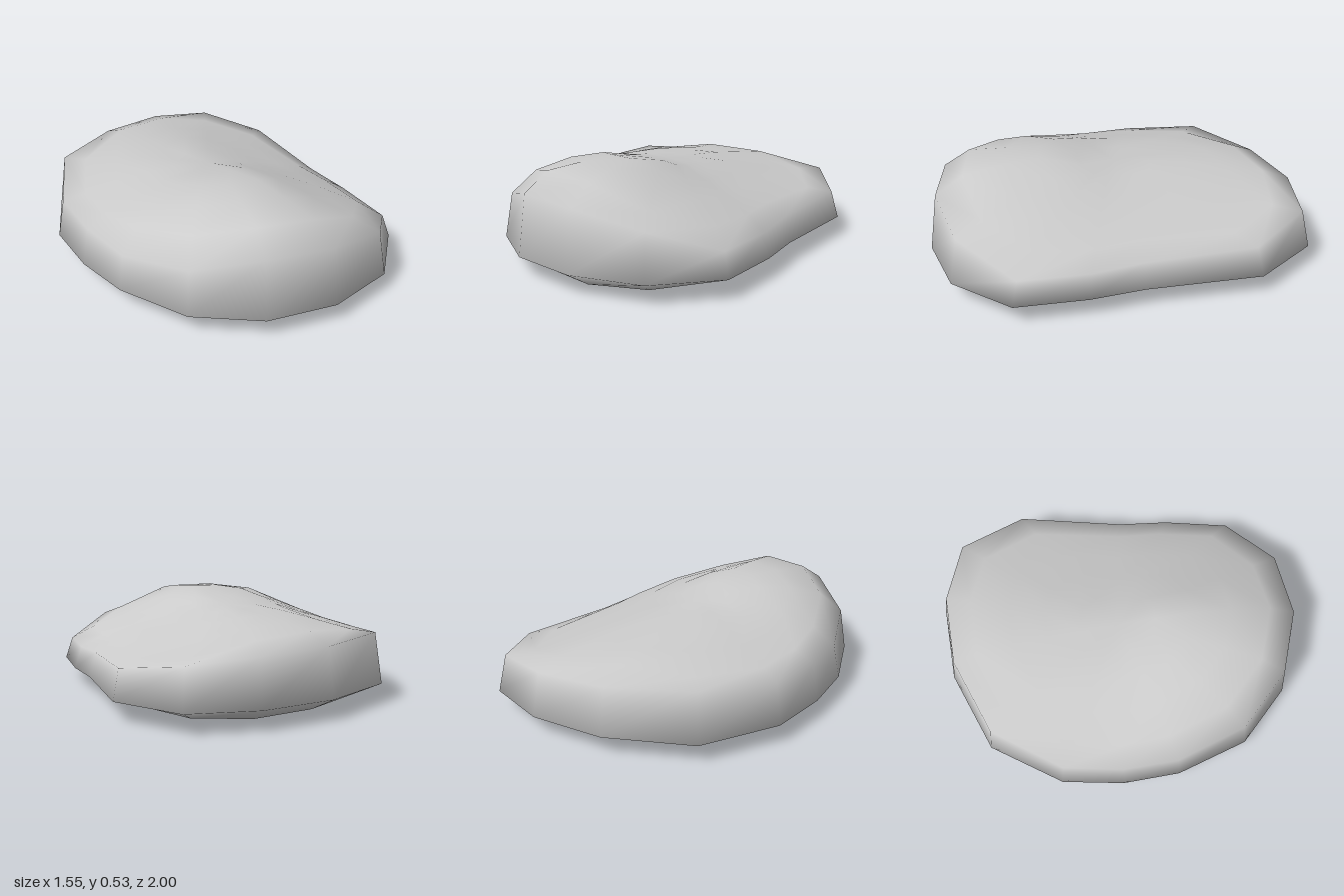
import * as THREE from 'three';

// Footprint, anticlockwise from the front: x, z, height of the upper rim
const outline = [
  [0.12, 1, 0.40], [0.49, 0.92, 0.33], [0.76, 0.65, 0.22], [0.775, 0.28, 0.22], [0.75, 0, 0.23],
  [0.765, -0.6, 0.25], [0.54, -0.94, 0.30], [0.19, -1, 0.33], [-0.2, -0.92, 0.345], [-0.6, -0.68, 0.36],
  [-0.78, -0.28, 0.31], [-0.78, 0.05, 0.30], [-0.72, 0.35, 0.28], [-0.54, 0.71, 0.33], [-0.24, 0.93, 0.41],
];

// Crest running front to back: z, height
const crest = [[-1, 0.38], [-0.74, 0.40], [-0.42, 0.43], [0, 0.46], [0.38, 0.53], [0.8, 0.5], [1, 0.4]];

function crestHeight(z) {
  let i = 0;
  while (i < crest.length - 2 && z > crest[i + 1][0]) i++;
  const [z0, h0] = crest[i], [z1, h1] = crest[i + 1];
  return THREE.MathUtils.lerp(h0, h1, (z - z0) / (z1 - z0));
}

// The top falls away from the crest on both sides
function topHeight(x, z) {
  const h = crestHeight(z);
  return h - Math.max(0, x - 0.08) * (h - 0.24) / 0.67 - Math.max(0, -0.26 - x) * (h - 0.31) / 0.5;
}

// Slightly bowed underside
const baseHeight = (x, z) => 0.036 * ((x - 0.05) / 0.58) ** 2 + 0.012 * (0.8 - z);

export function createModel() {
  // Cross-sections from underside to top: scale of the outline, height rule
  const rings = [
    [0.45, baseHeight],
    [0.83, baseHeight],
    [1, () => 0.1],
    [0.955, (x, z, rim) => rim],
    [0.81, topHeight],
    [0.6, topHeight],
    [0.4, topHeight],
    [0.2, topHeight],
  ];
  const n = outline.length;
  const positions = [];
  const index = [];
  for (const [scale, height] of rings) {
    for (const [ox, oz, rim] of outline) {
      const x = ox * scale, z = oz * scale;
      positions.push(x, height(x, z, rim), z);
    }
  }
  const bottom = rings.length * n, top = bottom + 1, last = (rings.length - 1) * n;
  positions.push(0, baseHeight(0, 0), 0, 0, topHeight(0, 0), 0);

  // Skin between the rings, closed by fans at both ends
  for (let j = 0; j < n; j++) {
    const k = (j + 1) % n;
    for (let r = 0; r < last; r += n) {
      index.push(r + j, r + k, r + n + k, r + j, r + n + k, r + n + j);
    }
    index.push(bottom, k, j, top, last + j, last + k);
  }

  const geometry = new THREE.BufferGeometry();
  geometry.setAttribute('position', new THREE.Float32BufferAttribute(positions, 3));
  geometry.setIndex(index);
  geometry.computeVertexNormals();

  const stone = new THREE.Mesh(geometry, new THREE.MeshStandardMaterial({ color: 0xcccccc }));
  stone.name = 'stone';
  const group = new THREE.Group();
  group.name = 'flatRock';
  group.add(stone);
  return group;
}
